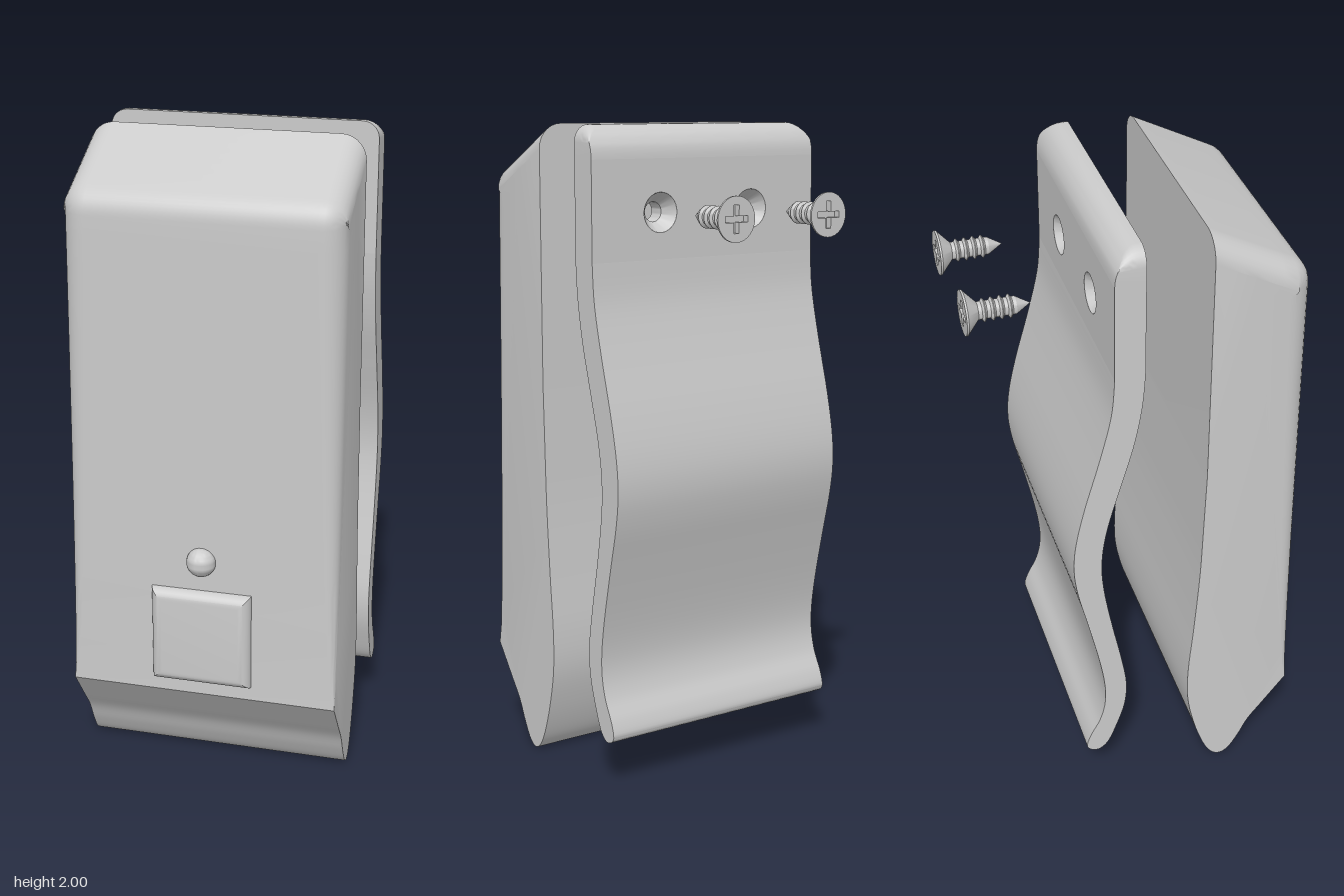
import * as THREE from 'three';
import { toCreasedNormals } from 'three/addons/utils/BufferGeometryUtils.js';

const grey = new THREE.MeshStandardMaterial({ color: 0xcccccc });
const HALF = 0.415; // half width of body and clip
const v2 = (x, y) => new THREE.Vector2(x, y);

function part(name, geometry, parent) {
  const mesh = new THREE.Mesh(toCreasedNormals(geometry, 0.5), grey);
  mesh.name = name;
  parent.add(mesh);
  return mesh;
}

// Side profile swept across x. Each point is {z, y, r, dz, dy}: r is the radius
// of the rounding at both ends, (dz, dy) the direction in which it is inset.
function loft(profile, steps = 7) {
  const pos = [], index = [], n = profile.length, rows = [];
  for (const s of [-1, 1]) {
    for (let k = 0; k <= steps; k++) {
      const a = (s < 0 ? 1 - k / steps : k / steps) * Math.PI / 2;
      rows.push(profile.map(({ z, y, r = 0, dz = 0, dy = 0 }) => {
        const inset = r * (1 - Math.cos(a));
        return [s * (HALF - r * (1 - Math.sin(a))), y + dy * inset, z + dz * inset];
      }));
    }
  }
  rows.forEach(row => row.forEach(p => pos.push(...p)));
  for (let k = 0; k < rows.length - 1; k++) {
    for (let i = 0; i < n; i++) {
      const j = (i + 1) % n, a = k * n + i, b = k * n + j;
      index.push(a, a + n, b + n, a, b + n, b);
    }
  }
  // flat end caps
  for (const [k, s] of [[0, -1], [rows.length - 1, 1]]) {
    const c = rows[k].map(p => v2(p[2], p[1]));
    for (const [a, b, d] of THREE.ShapeUtils.triangulateShape(c, [])) {
      const nx = (c[b].y - c[a].y) * (c[d].x - c[a].x) - (c[b].x - c[a].x) * (c[d].y - c[a].y);
      const t = nx * s > 0 ? [a, b, d] : [a, d, b];
      index.push(...t.map(i => i + k * n));
    }
  }
  const g = new THREE.BufferGeometry();
  g.setAttribute('position', new THREE.Float32BufferAttribute(pos, 3));
  g.setIndex(index);
  return g;
}

const spline = (pts, count) => new THREE.SplineCurve(pts.map(p => v2(...p))).getPoints(count)
  .map(p => ({ z: p.x, y: p.y }));

function bodyProfile() {
  const pts = [], R = 0.075;
  // front face, its edge rounding grows upwards
  for (let i = 0; i < 24; i++) {
    const y = 0.3 + 1.49 * i / 24;
    pts.push({ z: 0.455, y, r: R * Math.sqrt(i / 24), dz: -1 });
  }
  // rounded transition into the sloping top
  const bend = new THREE.QuadraticBezierCurve(v2(0.455, 1.79), v2(0.455, 1.845), v2(0.405, 1.87));
  bend.getPoints(8).forEach((p, i) => {
    const a = i / 8 * Math.PI / 2;
    pts.push({ z: p.x, y: p.y, r: R, dz: -Math.cos(a), dy: -Math.sin(a) });
  });
  for (let i = 1; i <= 6; i++) {
    pts.push({ z: 0.405 - 0.25 * i / 6, y: 1.87 + 0.13 * i / 6, r: R, dy: -1 });
  }
  // back, rounded foot and concave front of the foot
  const lower = spline([[0.155, 1.2], [0.15, 1.02], [0.144, 0.82], [0.13, 0.6], [0.116, 0.42],
    [0.118, 0.29], [0.142, 0.17], [0.175, 0.07], [0.205, 0.017], [0.235, 0], [0.267, 0.017],
    [0.3, 0.07], [0.332, 0.135], [0.38, 0.2], [0.455, 0.3]], 70);
  return pts.concat(lower.slice(0, -1));
}

function makeClip() {
  const clip = new THREE.Group();
  clip.name = 'clip';
  // wavy spring
  part('clipSpring', loft(spline([[-0.04, 1.6], [-0.049, 1.49], [-0.073, 1.36], [-0.112, 1.22],
    [-0.153, 1.07], [-0.17, 0.95], [-0.165, 0.84], [-0.14, 0.69], [-0.108, 0.53], [-0.092, 0.42],
    [-0.098, 0.33], [-0.125, 0.24], [-0.155, 0.17], [-0.19, 0.145], [-0.223, 0.165], [-0.212, 0.215],
    [-0.18, 0.28], [-0.163, 0.35], [-0.163, 0.43], [-0.18, 0.54], [-0.215, 0.7], [-0.245, 0.83],
    [-0.257, 0.93], [-0.25, 1.03], [-0.222, 1.16], [-0.175, 1.33], [-0.14, 1.48], [-0.13, 1.6]],
  130).reverse(), 1), clip);

  // flat plate with two countersunk holes
  const shape = new THREE.Shape([v2(-HALF, 1.6), v2(HALF, 1.6), v2(HALF, 1.9), v2(-HALF, 1.9)]);
  for (const x of [-0.17, 0.17]) {
    shape.holes.push(new THREE.Path().absarc(x, 1.74, 0.06, 0, Math.PI * 2, true));
    const sink = part('countersink', new THREE.LatheGeometry(
      [v2(0.06, 0.09), v2(0.03, 0.09), v2(0.03, 0.04), v2(0.06, 0)], 32), clip);
    sink.rotation.x = Math.PI / 2;
    sink.position.set(x, 1.74, -0.13);
  }
  part('clipPlate', new THREE.ExtrudeGeometry(shape,
    { depth: 0.09, bevelEnabled: false, curveSegments: 32 }), clip).position.z = -0.13;

  // top edge, rounded towards the back and at both corners
  const top = [{ z: -0.04, y: 1.9 }, { z: -0.04, y: 1.95 }, { z: -0.04, y: 2 }];
  for (let i = 0; i <= 10; i++) {
    const a = i / 10 * Math.PI / 2;
    top.push({ z: -0.055 - 0.075 * Math.sin(a), y: 1.9 + 0.1 * Math.cos(a) });
  }
  top.forEach(p => { p.r = Math.max(0, p.y - 1.95); p.dy = -1; });
  part('clipTopEdge', loft(top), clip);
  return clip;
}

function makeScrew() {
  const screw = new THREE.Group();
  screw.name = 'screw';
  // head with recess, threaded shank and pointed tip, turned as one profile
  const pts = [v2(0, 0.02), v2(0.047, 0.02), v2(0.047, 0), v2(0.066, 0), v2(0.066, 0.006), v2(0.026, 0.042)];
  for (let i = 0; i < 4; i++) {
    const c = 0.06 + i * 0.025;
    pts.push(v2(0.026, c - 0.007), v2(0.034, c - 0.001), v2(0.034, c + 0.001), v2(0.026, c + 0.007));
  }
  pts.push(v2(0.026, 0.152), v2(0, 0.196));
  part('screwBody', new THREE.LatheGeometry(pts, 32), screw).rotation.x = Math.PI / 2;
  // cross-shaped drive slot
  const face = new THREE.Shape().absarc(0, 0, 0.047, 0, Math.PI * 2, false);
  const w = 0.009, l = 0.04, cross = [];
  for (let q = 0; q < 4; q++) {
    for (const p of [[l, -w], [l, w], [w, w]]) cross.push(v2(...p).rotateAround(v2(0, 0), q * Math.PI / 2));
  }
  face.holes.push(new THREE.Path(cross));
  part('driveSlot', new THREE.ExtrudeGeometry(face,
    { depth: 0.02, bevelEnabled: false, curveSegments: 32 }), screw);
  return screw;
}

export function createModel() {
  const model = new THREE.Group();
  model.name = 'clipOnDevice';
  part('body', loft(bodyProfile()), model);

  // square push button with rounded, mitred edges
  const h = 0.12;
  const square = new THREE.Shape([v2(-h, -h), v2(h, -h), v2(h, h), v2(-h, h)]);
  part('button', new THREE.ExtrudeGeometry(square,
    { depth: 0.02, bevelSize: 0.035, bevelThickness: 0.033, bevelSegments: 8 }), model)
    .position.set(0, 0.5, 0.435);

  // indicator light
  part('indicatorLight', new THREE.SphereGeometry(0.045, 32, 20), model).position.set(0, 0.75, 0.455);

  model.add(makeClip());
  for (const x of [-0.17, 0.17]) {
    const screw = makeScrew();
    screw.position.set(x, 1.74, -0.5);
    model.add(screw);
  }
  return model;
}
